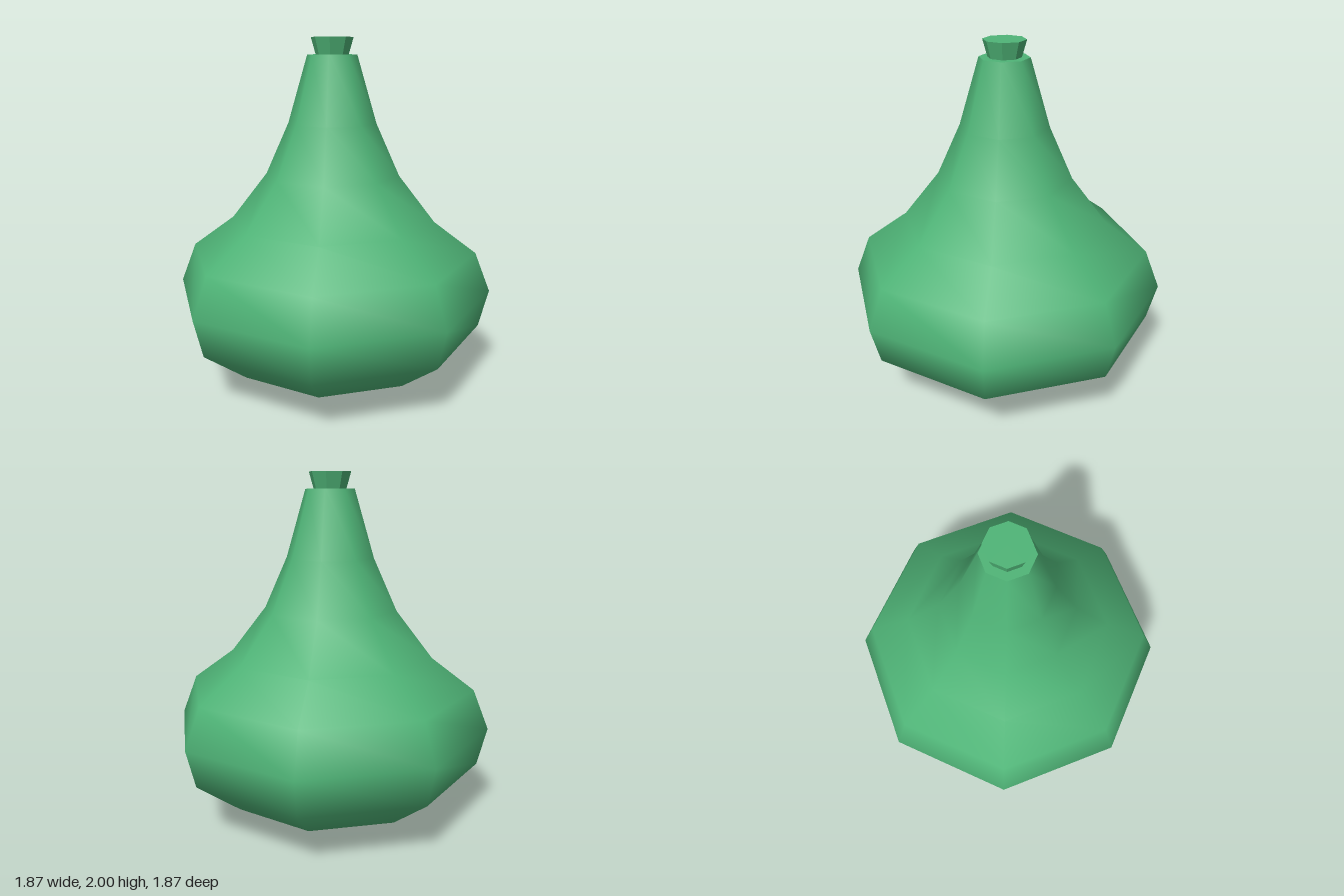
import * as THREE from 'three';

const SIDES = 8;

export function createModel() {
  const model = new THREE.Group();
  const smooth = new THREE.MeshStandardMaterial({ color: 0x4fb477 });
  const faceted = new THREE.MeshStandardMaterial({ color: 0x4fb477, flatShading: true });

  const add = (name, geometry, material, y = 0) => {
    const mesh = new THREE.Mesh(geometry, material);
    mesh.name = name;
    mesh.position.y = y;
    model.add(mesh);
    return mesh;
  };

  // Bulbous body and tapering neck, from the flat base up to the mouth
  const profile = [
    [0, 0], [0.31, 0], [0.62, 0.12], [0.88, 0.32], [0.935, 0.54],
    [0.845, 0.77], [0.6, 0.95], [0.39, 1.22], [0.255, 1.52], [0.142, 1.905],
  ].map(([r, y]) => new THREE.Vector2(r, y));
  add('bottleBody', new THREE.LatheGeometry(profile, SIDES), smooth);

  // Flat rim closing the neck
  const rim = new THREE.CircleGeometry(0.142, SIDES).rotateX(-Math.PI / 2);
  add('neckRim', rim, faceted, 1.905);

  // Stopper, flaring upwards
  add('stopper', new THREE.CylinderGeometry(0.121, 0.094, 0.095, SIDES), faceted, 1.9525);

  return model;
}
